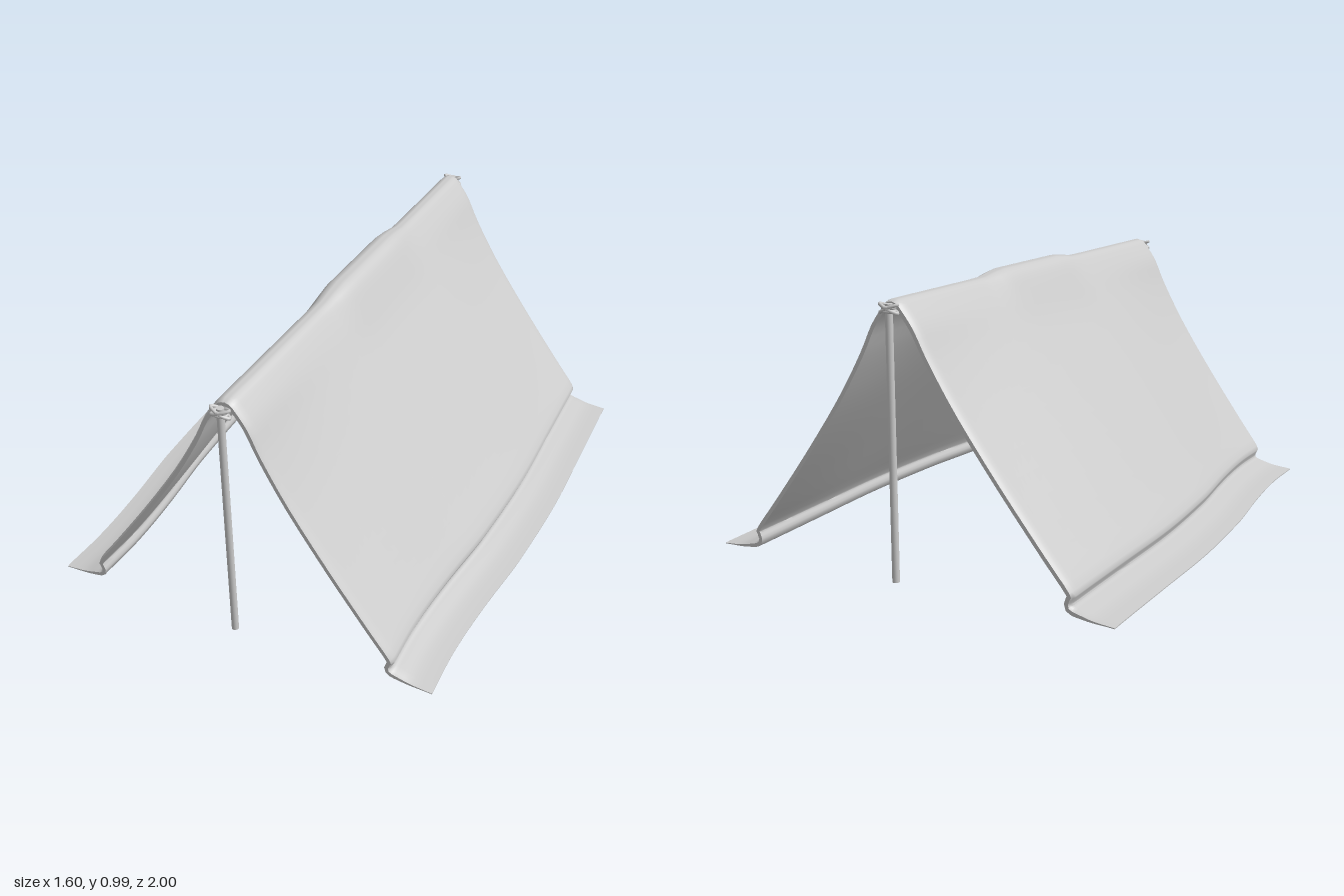
import * as THREE from 'three';
import { toCreasedNormals } from 'three/addons/utils/BufferGeometryUtils.js';

const material = new THREE.MeshStandardMaterial({ color: 0xcccccc, side: THREE.DoubleSide });
const { smoothstep } = THREE.MathUtils;

// How far the lower edge stands out from the centre along the length
const creaseCurve = new THREE.SplineCurve([
  [-0.95, 0.645], [-0.6, 0.652], [-0.2, 0.66], [0.2, 0.642], [0.5, 0.61], [0.75, 0.595], [0.95, 0.6],
].map(p => new THREE.Vector2(...p)));

function creaseAt(z) {
  const knots = creaseCurve.points;
  let i = 0;
  while (i < knots.length - 2 && z > knots[i + 1].x) i++;
  const f = THREE.MathUtils.clamp((z - knots[i].x) / (knots[i + 1].x - knots[i].x), 0, 1);
  return creaseCurve.getPoint((i + f) / (knots.length - 1)).y;
}

// Half cross-section of the cloth, ridge to ground flap
function halfProfile(z, steps) {
  const c = creaseAt(z);
  const bump = smoothstep(z, -0.42, -0.27) * (1 - smoothstep(z, 0.13, 0.3));
  const sag = 0.004 + 0.018 * smoothstep(Math.abs(z), 0.35, 0.95);
  const slope = (f, pull) => [
    0.06 + (c - 0.06) * f - pull * 0.8,
    0.925 - 0.845 * f - pull * 0.55,
  ];
  const pts = [
    [0, 0.974 + bump * 0.018],
    [0.024 + bump * 0.006, 0.966 + bump * 0.017],
    [0.044 + bump * 0.012, 0.945 + bump * 0.012],
    slope(0.05, -bump * 0.008),
    slope(0.16, sag * 0.7),
    slope(0.35, sag * 1.2),
    slope(0.6, sag),
    slope(0.85, sag * 0.4),
    slope(0.985, 0),
    [c - 0.008, 0.062],
    [c - 0.012, 0.042],
    [c + 0.02, 0.03],
    [c + 0.07, 0.015],
    [c + 0.142, 0.006],
  ];
  return new THREE.SplineCurve(pts.map(p => new THREE.Vector2(...p))).getPoints(steps);
}

// Cloth as a closed thin shell: outer skin, inner skin, hems at both ends
function clothGeometry(rows = 44, half = 39) {
  const cols = 2 * half + 1;
  const ring = 2 * cols;
  const positions = [];
  const index = [];
  for (let j = 0; j <= rows; j++) {
    const s = (1 - Math.cos(Math.PI * j / rows)) / 2;
    const z0 = -0.95 + 1.905 * s;
    const right = halfProfile(z0, half);
    const left = right.slice(1).reverse().map(p => new THREE.Vector2(-p.x, p.y));
    const line = [...left, ...right];
    const end = Math.min(s, 1 - s) * 1.905;
    const roll = 0.008 * Math.max(0, 1 - end / 0.03) ** 2;
    const inset = (i, d) => {
      const a = line[Math.max(i - 1, 0)], b = line[Math.min(i + 1, cols - 1)];
      const t = b.clone().sub(a).normalize();
      return [line[i].x + t.y * d, Math.max(0.001, line[i].y - t.x * d)];
    };
    const push = (i, d) => {
      const thin = 1 - 0.8 * smoothstep(Math.abs(i - half) / half, 0.8, 1);
      const [x, y] = inset(i, d * thin);
      const z = z0 + (1 - s) * (0.012 - 0.032 * y);
      positions.push(x, y, z);
    };
    for (let i = 0; i < cols; i++) push(i, roll);
    for (let i = cols - 1; i >= 0; i--) push(i, 0.022);
  }
  for (let j = 0; j < rows; j++) {
    for (let i = 0; i < ring; i++) {
      const n = (i + 1) % ring;
      const a = j * ring + i, b = j * ring + n;
      index.push(a, a + ring, b, b, a + ring, b + ring);
    }
  }
  for (let i = 0; i < cols - 1; i++) {
    const m = ring - 1 - i;
    const f = rows * ring;
    index.push(f + i, f + m, f + m - 1, f + i, f + m - 1, f + i + 1);
    index.push(i, m - 1, m, i, i + 1, m - 1);
  }
  const geometry = new THREE.BufferGeometry();
  geometry.setAttribute('position', new THREE.Float32BufferAttribute(positions, 3));
  geometry.setIndex(index);
  return toCreasedNormals(geometry, 0.9);
}

function addMesh(parent, name, geometry) {
  const mesh = new THREE.Mesh(geometry, material);
  mesh.name = name;
  parent.add(mesh);
  return mesh;
}

// Rope lashing round a pole top
function lashing(name) {
  const group = new THREE.Group();
  group.name = name;
  for (const y of [0.936, 0.948]) {
    const loop = addMesh(group, 'ropeLoop', new THREE.TorusGeometry(0.014, 0.006, 8, 20));
    loop.rotation.x = Math.PI / 2;
    loop.scale.x = 1.4;
    loop.position.y = y;
  }
  for (const side of [-1, 1]) {
    const path = new THREE.CatmullRomCurve3([
      [-0.034, 0.93, 0], [-0.015, 0.938, 0.012], [0.015, 0.952, 0.012], [0.034, 0.958, 0],
      [0.015, 0.952, -0.012], [-0.015, 0.938, -0.012],
    ].map(([x, y, z]) => new THREE.Vector3(x * side, y, z)), true);
    addMesh(group, 'ropeCross', new THREE.TubeGeometry(path, 32, 0.006, 7, true));
  }
  return group;
}

export function createModel() {
  const model = new THREE.Group();
  model.name = 'tent';

  addMesh(model, 'clothSheet', clothGeometry());

  // Upright poles at both ends and under the ridge
  for (const [name, z] of [['frontPole', 0.98], ['middlePole', 0.06], ['backPole', -0.98]]) {
    const pole = addMesh(model, name, new THREE.CylinderGeometry(0.013, 0.013, 0.94, 16));
    pole.position.set(0, 0.49, z);
  }

  // Lashings where the end poles meet the ridge
  for (const [name, z] of [['frontLashing', 0.981], ['backLashing', -0.981]]) {
    const rope = lashing(name);
    rope.position.z = z;
    model.add(rope);
  }
  return model;
}
